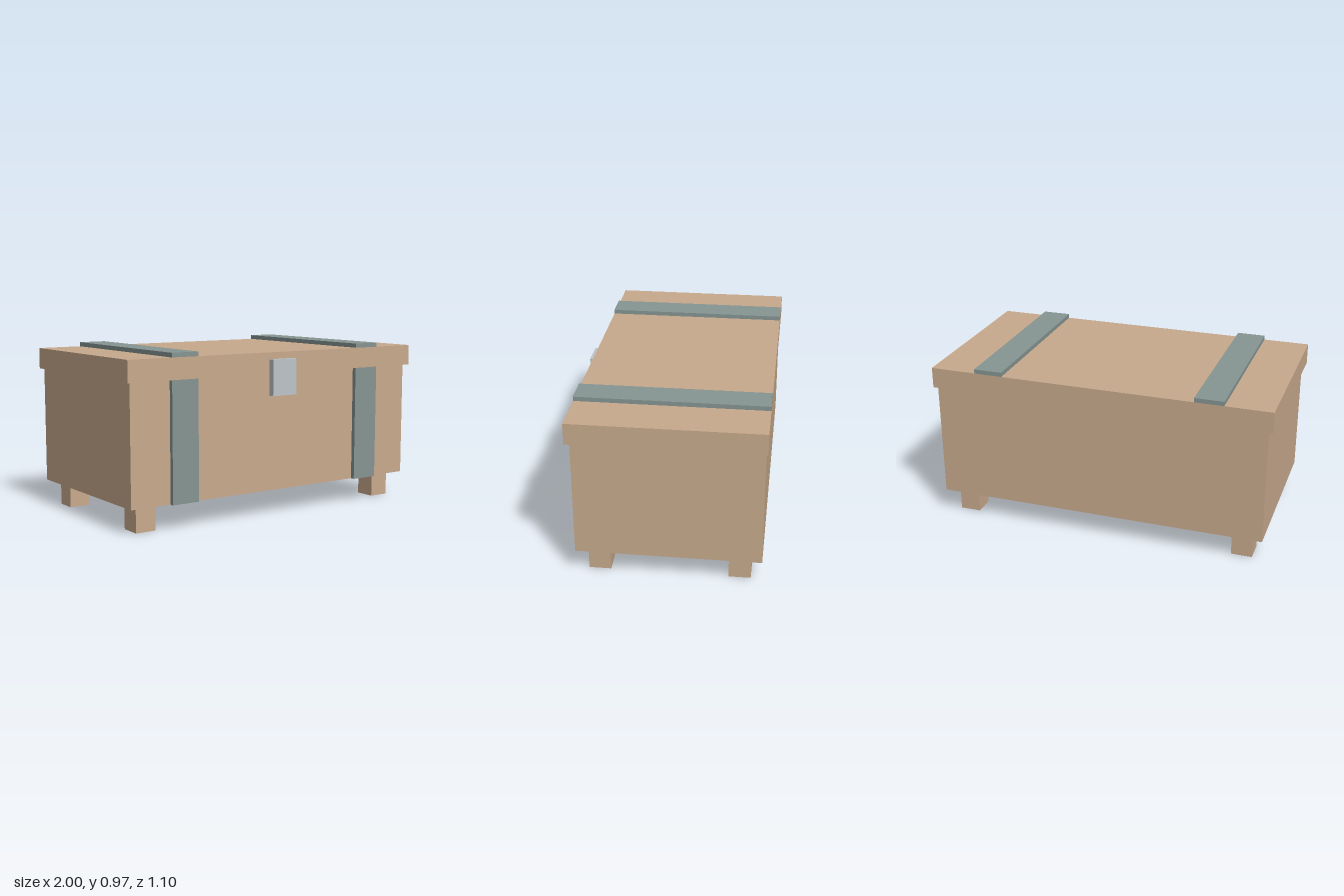
import * as THREE from 'three';

export function createModel() {
  const chest = new THREE.Group();
  chest.name = 'chest';

  const material = (name, color) => {
    const m = new THREE.MeshStandardMaterial({ color });
    m.name = name;
    return m;
  };
  const wood = material('wood', 0xc8aa8d);
  const strapMetal = material('strap metal', 0x869593);
  const latchMetal = material('latch metal', 0xbdc5c8);

  // Adds a box spanning the given ranges on each axis
  const box = (name, mat, [x0, x1], [y0, y1], [z0, z1]) => {
    const mesh = new THREE.Mesh(new THREE.BoxGeometry(x1 - x0, y1 - y0, z1 - z0), mat);
    mesh.position.set((x0 + x1) / 2, (y0 + y1) / 2, (z0 + z1) / 2);
    mesh.name = name;
    chest.add(mesh);
  };

  // Body and overhanging lid
  box('body', wood, [-0.975, 0.975], [0.147, 0.825], [-0.54, 0.49]);
  box('lid', wood, [-1, 1], [0.825, 0.946], [-0.55, 0.515]);

  // Latch plate across the lid seam
  box('latch', latchMetal, [-0.083, 0.083], [0.7, 0.907], [0.515, 0.55]);

  for (const [side, s] of [['left', 1], ['right', -1]]) {
    const span = (a, b) => (s > 0 ? [a, b] : [-b, -a]);

    // Straps down the front and over the lid
    box(`${side}FrontStrap`, strapMetal, span(0.563, 0.73), [0.147, 0.825], [0.49, 0.515]);
    box(`${side}LidStrap`, strapMetal, span(0.563, 0.73), [0.946, 0.971], [-0.55, 0.515]);

    // Short square feet
    box(`${side}FrontFoot`, wood, span(0.79, 0.912), [0, 0.147], [0.305, 0.428]);
    box(`${side}BackFoot`, wood, span(0.79, 0.912), [0, 0.147], [-0.478, -0.355]);
  }

  return chest;
}
